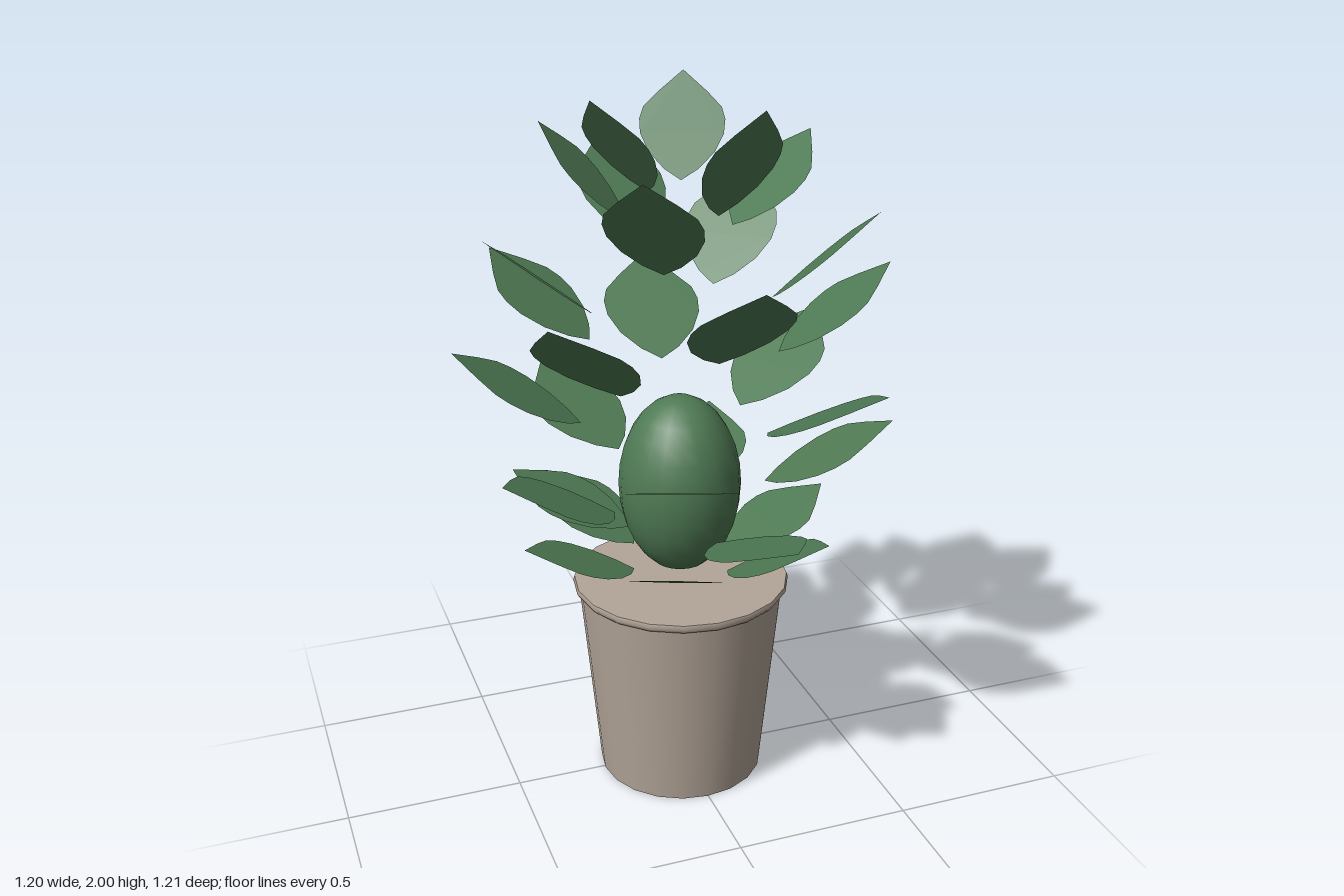
import * as THREE from 'three';

const rad = THREE.MathUtils.degToRad;

// Spiral leaves from the crown down: tip radius, tip height, tilt and roll in degrees
const SPIRAL = [
  [0.31, 2.0, 53, 0], [0.30, 1.99, 52, 0], [0.32, 1.98, 60, -3], [0.37, 1.9, 48, 0], [0.44, 1.84, 41, 0],
  [0.42, 1.84, 52, 0], [0.44, 1.81, 45, 0], [0.53, 1.71, 42, 0], [0.55, 1.66, 38, 0], [0.52, 1.68, 46, 0],
  [0.57, 1.61, 43, 0], [0.605, 1.5, 35, 0], [0.605, 1.49, 36, -5], [0.59, 1.51, 41, 6], [0.615, 1.39, 34, 2],
  [0.65, 1.3, 27, 0], [0.615, 1.3, 32, 0], [0.6, 1.27, 33, 0], [0.64, 1.15, 24, 0], [0.62, 1.09, 26, 0],
  [0.585, 1.1, 29, 0], [0.58, 1.04, 26, -6], [0.575, 0.92, 20, 0], [0.55, 0.9, 18, 0], [0.5, 0.88, 22, 0],
];

// Flat pointed blade of unit length along +x, facing +y
function leafGeometry() {
  const half = [[0.1, 0.14], [0.25, 0.27], [0.42, 0.345], [0.55, 0.355], [0.66, 0.325], [0.8, 0.205]];
  const outline = [[0, 0], ...half, [1, 0], ...half.map(([u, w]) => [u, -w]).reverse()];
  const shape = new THREE.Shape(outline.map(([u, w]) => new THREE.Vector2(u, w)));
  return new THREE.ShapeGeometry(shape).rotateX(-Math.PI / 2);
}

function lathe(points, segments) {
  return new THREE.LatheGeometry(points.map(([r, y]) => new THREE.Vector2(r, y)), segments);
}

export function createModel() {
  const model = new THREE.Group();
  model.name = 'pottedPlant';

  const leafGreen = new THREE.MeshStandardMaterial({ color: 0x4f7a54, side: THREE.DoubleSide });
  leafGreen.name = 'leafGreen';
  const clay = new THREE.MeshStandardMaterial({ color: 0xb3a598 });
  clay.name = 'clay';

  const add = (parent, name, geometry, material) => {
    const mesh = new THREE.Mesh(geometry, material);
    mesh.name = name;
    parent.add(mesh);
    return mesh;
  };

  // Tapered pot with a thin projecting rim
  const pot = new THREE.Group();
  pot.name = 'pot';
  pot.position.z = 0.007;
  model.add(pot);
  add(pot, 'potBody', new THREE.CylinderGeometry(0.295, 0.239, 0.59, 20), clay).position.y = 0.295;
  add(pot, 'potRim', lathe([[0.28, 0.584], [0.302, 0.584], [0.31, 0.596], [0.306, 0.608]], 20), clay);
  const top = add(pot, 'potTop', new THREE.CircleGeometry(0.306, 20).rotateX(-Math.PI / 2), clay);
  top.position.y = 0.608;
  top.rotation.y = Math.PI / 2;

  // Egg-shaped core of foliage
  const core = add(model, 'foliageCore', new THREE.SphereGeometry(1, 20, 14), leafGreen);
  core.scale.set(0.172, 0.26, 0.177);
  core.position.set(-0.003, 0.898, 0.008);

  // One leaf, placed by its tip; angles in degrees, azimuth from +x towards +z
  const blade = leafGeometry();
  const addLeaf = (parent, azimuth, r, y, length, tilt, roll) => {
    const spoke = new THREE.Group();
    spoke.name = 'leafSpoke';
    spoke.rotation.y = -rad(azimuth);
    parent.add(spoke);
    const leaf = add(spoke, 'leaf', blade, leafGreen);
    leaf.scale.setScalar(length);
    leaf.rotation.set(rad(roll), 0, rad(tilt), 'ZYX');
    leaf.position.set(r - length * Math.cos(rad(tilt)), y - length * Math.sin(rad(tilt)), 0);
  };

  // Golden-angle spiral, with the longest leaves halfway down
  const spiral = new THREE.Group();
  spiral.name = 'spiralLeaves';
  model.add(spiral);
  SPIRAL.forEach(([r, y, tilt, roll], i) => {
    const length = 0.313 + 0.09 * Math.sin(Math.PI * (i * 0.03 + 0.02));
    addLeaf(spiral, 154 + i * 137.5, r, y, length, tilt, roll);
  });

  // Ring of six low leaves around the base, lifted towards the front and back
  const ring = new THREE.Group();
  ring.name = 'baseLeaves';
  model.add(ring);
  for (let i = 0; i < 6; i++) {
    const azimuth = 52 + i * 60;
    const lift = Math.sin(rad(azimuth)) ** 2;
    addLeaf(ring, azimuth, 0.475, 0.79 + 0.05 * lift, 0.355, 22 + 8 * lift, 0);
  }

  return model;
}
